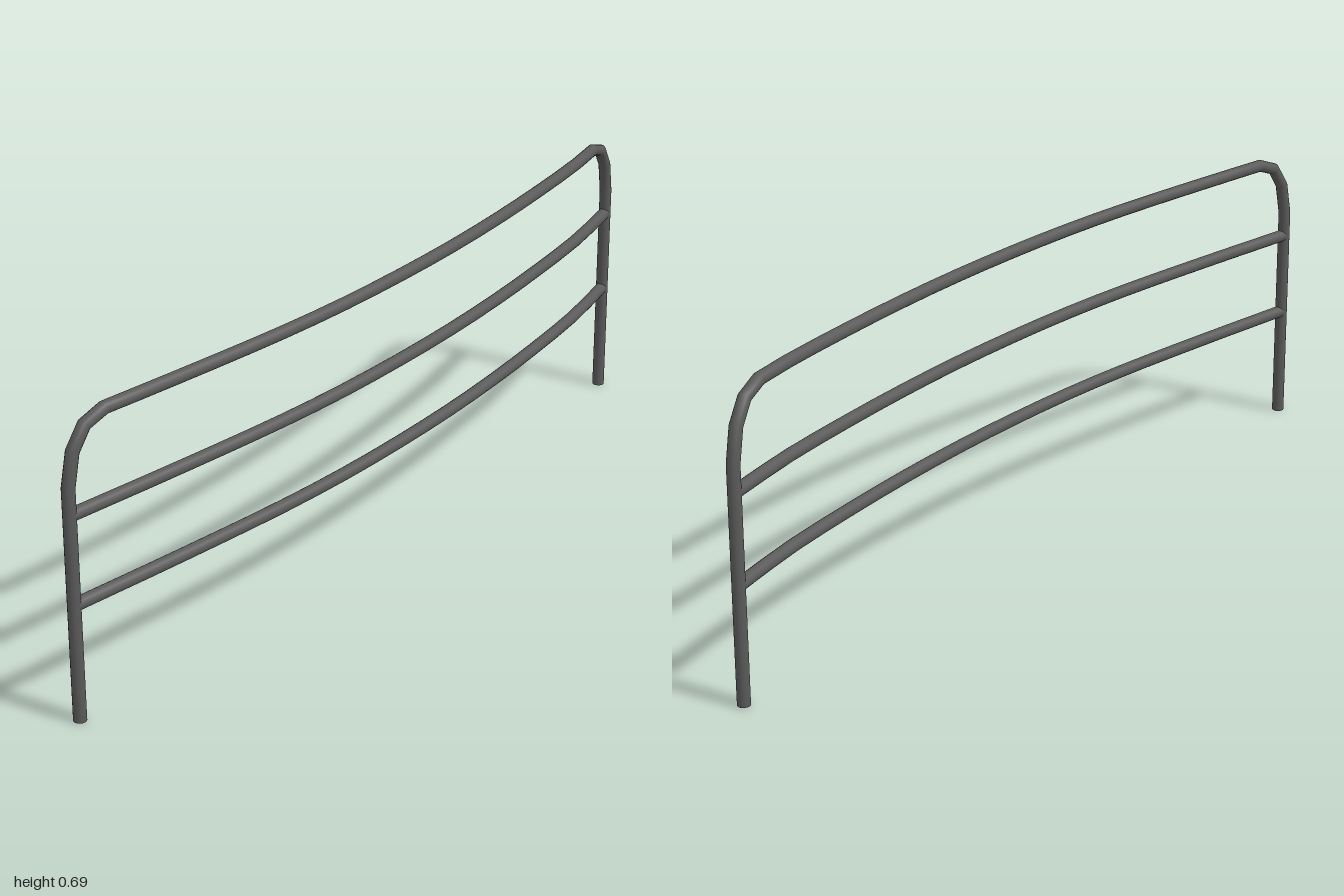
import * as THREE from 'three';

const R = 0.0145; // tube radius
const END = 0.985; // z of the posts

// Path with straight runs between its points; the tube rings sit on the points
class Polyline extends THREE.Curve {
  constructor(points) { super(); this.points = points; }
  getPoint(t, target = new THREE.Vector3()) {
    const p = this.points, s = t * (p.length - 1);
    const i = Math.min(Math.floor(s + 1e-6), p.length - 2);
    return target.copy(p[i]).lerp(p[i + 1], s - i);
  }
  getPointAt(t, target) { return this.getPoint(t, target); }
  getTangentAt(t, target = new THREE.Vector3()) {
    const p = this.points, i = Math.round(t * (p.length - 1));
    const dir = (a, b) => p[b].clone().sub(p[a]).normalize();
    const before = dir(Math.max(i - 1, 0), Math.max(i, 1));
    const after = dir(Math.min(i, p.length - 2), Math.min(i + 1, p.length - 1));
    return target.copy(before).add(after).normalize();
  }
}

// Sideways bow of the rail in plan: [z, x]
const plan = new THREE.CatmullRomCurve3([
  [-END, -0.196], [-0.8, -0.12], [-0.6, -0.054], [-0.4, 0.005], [-0.2, 0.056], [0, 0.098],
  [0.2, 0.132], [0.4, 0.156], [0.7, 0.178], [END, 0.1935],
].map(([z, x]) => new THREE.Vector3(x, 0, z)));

// Points of the bow at one height between two ends in z
function bow(y, zEnd, count) {
  const dense = plan.getPoints(600);
  const points = [];
  for (let i = 0; i <= count; i++) {
    const z = -zEnd + (2 * zEnd * i) / count;
    const k = Math.max(1, dense.findIndex((p) => p.z >= z - 1e-6));
    const a = dense[k - 1], b = dense[k];
    const x = THREE.MathUtils.mapLinear(z, a.z, b.z, a.x, b.x);
    points.push(new THREE.Vector3(x, y, z));
  }
  return points;
}

export function createModel() {
  const model = new THREE.Group();
  model.name = 'curvedHandrail';
  const steel = new THREE.MeshStandardMaterial({ color: 0x5a5a5a });
  steel.name = 'darkGreySteel';

  const add = (name, geometry) => {
    const mesh = new THREE.Mesh(geometry, steel);
    mesh.name = name;
    model.add(mesh);
    return mesh;
  };
  const tube = (name, points) =>
    add(name, new THREE.TubeGeometry(new Polyline(points), points.length - 1, R, 16, false));

  // Outer frame: post, faceted bend, bowed top rail, bend, post
  const bend = [[END, 0], [END, 0.53], [0.97, 0.605], [0.937, 0.653], [0.885, 0.672]];
  const side = (sign) => bend.map(([z, y]) => {
    const p = bow(y, z, 1)[sign < 0 ? 0 : 1];
    return p;
  });
  const top = bow(0.672, 0.885, 18).slice(1, -1);
  const frame = [...side(-1), ...top, ...side(1).reverse()];
  tube('outerFrame', frame);

  // Closed feet of the posts
  [['backFoot', frame[0]], ['frontFoot', frame[frame.length - 1]]].forEach(([name, p]) => {
    const foot = add(name, new THREE.CircleGeometry(R, 16));
    foot.rotation.x = Math.PI / 2;
    foot.position.copy(p);
  });

  // Two lower rails following the same bow
  tube('middleRail', bow(0.47, END, 20));
  tube('lowerRail', bow(0.268, END, 20));

  return model;
}
